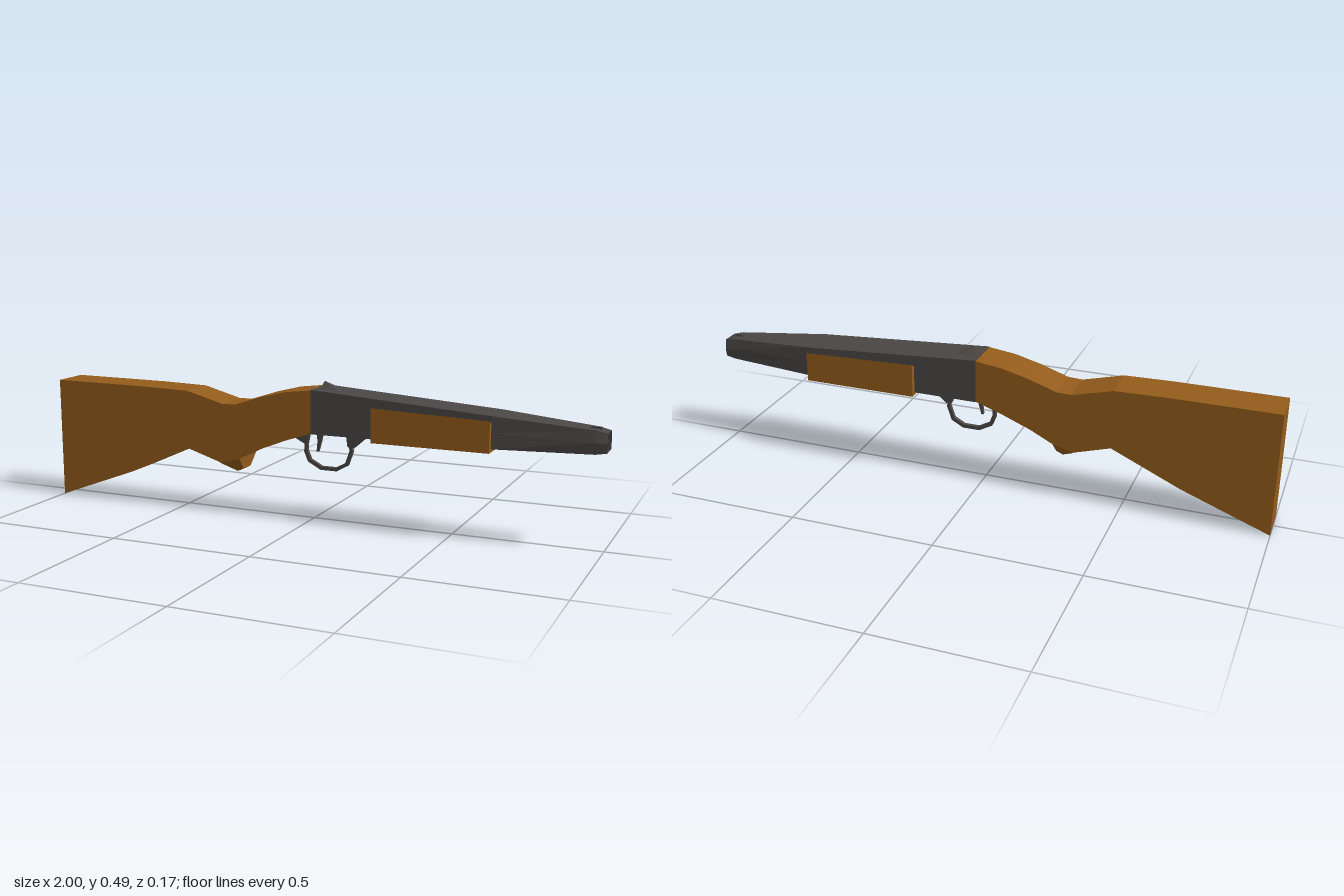
import * as THREE from 'three';
import { ConvexGeometry } from 'three/addons/geometries/ConvexGeometry.js';

const wood = new THREE.MeshStandardMaterial({ color: 0x945c1c, flatShading: true });
const steel = new THREE.MeshStandardMaterial({ color: 0x4b4745, flatShading: true, side: THREE.DoubleSide });

function part(name, geometry, material) {
  const mesh = new THREE.Mesh(geometry, material);
  mesh.name = name;
  return mesh;
}

// Side profile [x, y] extruded to a width centred on z = 0
function slab(points, width) {
  const shape = new THREE.Shape(points.map(([x, y]) => new THREE.Vector2(x, y)));
  const g = new THREE.ExtrudeGeometry(shape, { depth: width, bevelEnabled: false });
  return g.translate(0, 0, -width / 2);
}

// Skin through cross-sections of [x, y, z] points, open at both ends
function loft(sections) {
  const n = sections[0].length, index = [];
  for (let s = 0; s < sections.length - 1; s++) {
    for (let i = 0; i < n; i++) {
      const a = s * n + i, a2 = s * n + (i + 1) % n;
      index.push(a, a + n, a2 + n, a, a2 + n, a2);
    }
  }
  const g = new THREE.BufferGeometry();
  g.setAttribute('position', new THREE.Float32BufferAttribute(sections.flat(2), 3));
  g.setIndex(index);
  const flat = g.toNonIndexed();
  flat.computeVertexNormals();
  return flat;
}

// Six-sided section: bottom, middle and top heights with their half widths
const hex = (x, yb, ym, yt, zb, zm, zt) => [
  [x, yb, zb], [x, ym, zm], [x, yt, zt], [x, yt, -zt], [x, ym, -zm], [x, yb, -zb],
];

const hull = (points) => new ConvexGeometry(points.map((p) => new THREE.Vector3(...p)));
const mirrored = (points) => points.flatMap(([x, y, z]) => [[x, y, z], [x, y, -z]]);

export function createModel() {
  const group = new THREE.Group();
  group.name = 'longGun';

  // Stock with the curved wrist
  group.add(part('stock', slab([
    [-1, 0], [-0.7, 0.112], [-0.46, 0.22], [-0.33, 0.18], [-0.26, 0.2], [-0.18, 0.24],
    [-0.08, 0.28], [0.015, 0.312], [0.015, 0.46], [-0.08, 0.448], [-0.17, 0.425],
    [-0.27, 0.392], [-0.32, 0.39], [-0.46, 0.427], [-0.63, 0.431], [-1, 0.432],
  ], 0.134), wood));

  // Tapered knob under the wrist
  group.add(part('gripKnob', hull(mirrored([
    [-0.258, 0.202, 0.067], [-0.335, 0.18, 0.067], [-0.262, 0.156, 0.027], [-0.285, 0.146, 0.027],
  ])), wood));

  // Receiver and barrel in one tapering hollow skin
  group.add(part('receiverAndBarrel', loft([
    hex(0.015, 0.31, 0.385, 0.462, 0.067, 0.067, 0.067),
    hex(0.64, 0.313, 0.365, 0.42, 0.067, 0.067, 0.067),
    hex(0.965, 0.318, 0.355, 0.394, 0.036, 0.041, 0.036),
    hex(1, 0.324, 0.354, 0.386, 0.033, 0.037, 0.03),
  ]), steel));

  // Plate closing the lower half of the muzzle
  group.add(part('muzzlePlate', hull(mirrored([
    [0.97, 0.32, 0.034], [0.985, 0.322, 0.034], [0.97, 0.354, 0.038], [0.985, 0.354, 0.037],
  ])), steel));

  // Sliding fore-end: a U-shaped channel around the barrel
  const channel = (x, top) => [
    [x, 0.302, 0.085], [x, top, 0.085], [x, top - 0.012, 0.066], [x, 0.314, 0.066],
    [x, 0.314, -0.066], [x, top - 0.012, -0.066], [x, top, -0.085], [x, 0.302, -0.085],
  ];
  const foreEnd = new THREE.Group();
  foreEnd.name = 'foreEnd';
  foreEnd.add(part('foreEndShell', loft([channel(0.24, 0.419), channel(0.64, 0.406)]), wood));
  for (const [x, top] of [[0.24, 0.419], [0.64, 0.406]]) {
    const rim = new THREE.Shape(channel(x, top).map(([, y, z]) => new THREE.Vector2(z, y)));
    const g = new THREE.ExtrudeGeometry(rim, { depth: 0.002, bevelEnabled: false });
    g.rotateY(Math.PI / 2).translate(x - 0.001, 0, 0);
    foreEnd.add(part('foreEndRim', g, wood));
  }
  group.add(foreEnd);

  // Sights
  group.add(part('rearSight', hull([
    [0.038, 0.485, 0], ...mirrored([[0.03, 0.455, 0.026], [0.1, 0.455, 0.026]]),
  ]), steel));
  const bead = new THREE.BoxGeometry(0.035, 0.014, 0.01).translate(0.957, 0.393, 0);
  group.add(part('frontSight', bead, steel));

  // Trigger guard: faceted band with a bracket at each end
  const outer = [[-0.035, 0.275], [-0.036, 0.235], [-0.022, 0.2], [0.025, 0.175],
    [0.085, 0.175], [0.127, 0.198], [0.145, 0.25], [0.135, 0.275]];
  const inner = outer.map(([x, y]) => [0.055 + (x - 0.055) * 0.87, 0.275 + (y - 0.275) * 0.88]);
  const guard = new THREE.Group();
  guard.name = 'triggerGuard';
  guard.add(
    part('guardBand', slab([...outer, ...inner.reverse()], 0.014), steel),
    part('frontBracket', slab([[0.118, 0.315], [0.125, 0.265], [0.147, 0.26], [0.21, 0.315]], 0.014), steel),
    part('rearBracket', slab([[-0.07, 0.28], [-0.035, 0.262], [-0.023, 0.265], [-0.015, 0.305]], 0.014), steel),
  );
  group.add(guard);

  // Trigger
  group.add(part('trigger', slab([
    [0.008, 0.315], [0.014, 0.275], [0.01, 0.238], [0.017, 0.238], [0.027, 0.275], [0.036, 0.315],
  ], 0.012), steel));

  return group;
}
